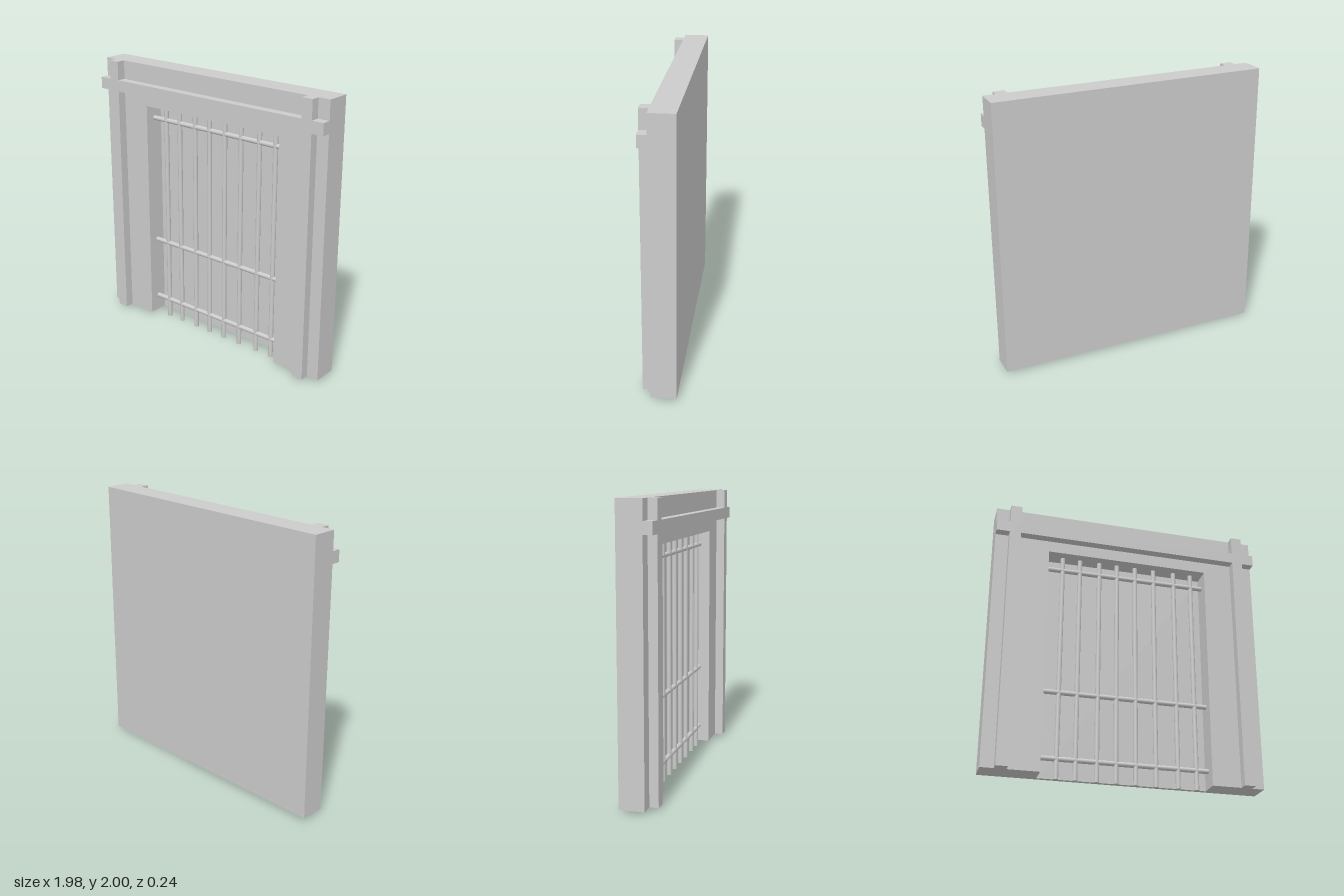
import * as THREE from 'three';

const material = new THREE.MeshStandardMaterial({ color: 0xcccccc });

// Outline given as [x, y] corners, counter-clockwise, extruded from z0 to z1
function slab(name, points, z0, z1) {
  const shape = new THREE.Shape(points.map(([x, y]) => new THREE.Vector2(x, y)));
  const geometry = new THREE.ExtrudeGeometry(shape, { depth: z1 - z0, bevelEnabled: false });
  geometry.translate(0, 0, z0);
  const mesh = new THREE.Mesh(geometry, material);
  mesh.name = name;
  return mesh;
}

function bar(name, length) {
  const mesh = new THREE.Mesh(new THREE.CylinderGeometry(0.017, 0.017, length, 16), material);
  mesh.name = name;
  return mesh;
}

export function createModel() {
  const group = new THREE.Group();
  group.name = 'barredGateway';

  const W = 0.988, base = 0.02, top = 2;
  const back = -0.12, wallFront = 0.056, frameFront = 0.12;
  const openL = -0.59, openR = 0.61, openTop = 1.695;

  // Wall with the doorway cut out of its lower edge
  group.add(slab('wall', [
    [-W, base], [openL, base], [openL, openTop], [openR, openTop],
    [openR, base], [W, base], [W, top], [-W, top],
  ], back, wallFront));

  // Thin panel closing the doorway at the back
  group.add(slab('backPanel', [
    [openL, base], [openR, base], [openR, openTop], [openL, openTop],
  ], back, -0.09));

  // Raised frame: two posts crossed by one lintel beam
  const L0 = -0.893, L1 = -0.811, R0 = 0.82, R1 = 0.9, b0 = 1.78, b1 = 1.864;
  group.add(slab('raisedFrame', [
    [L0, base], [L1, base], [L1, b0], [R0, b0], [R0, base], [R1, base],
    [R1, b0], [W, b0], [W, b1], [R1, b1], [R1, top], [R0, top],
    [R0, b1], [L1, b1], [L1, top], [L0, top], [L0, b1], [-W, b1],
    [-W, b0], [L0, b0],
  ], wallFront, frameFront));

  // Grille of round bars standing inside the doorway
  const grille = new THREE.Group();
  grille.name = 'grille';
  grille.position.z = -0.025;
  for (const x of [-0.47, -0.34, -0.192, -0.057, 0.083, 0.228, 0.387, 0.522]) {
    const upright = bar('verticalBar', openTop);
    upright.position.set(x, openTop / 2, 0);
    grille.add(upright);
  }
  for (const y of [0.143, 0.624, 1.593]) {
    const rail = bar('horizontalBar', openR - openL);
    rail.rotation.z = Math.PI / 2;
    rail.position.set((openL + openR) / 2, y, 0);
    grille.add(rail);
  }
  group.add(grille);

  return group;
}
